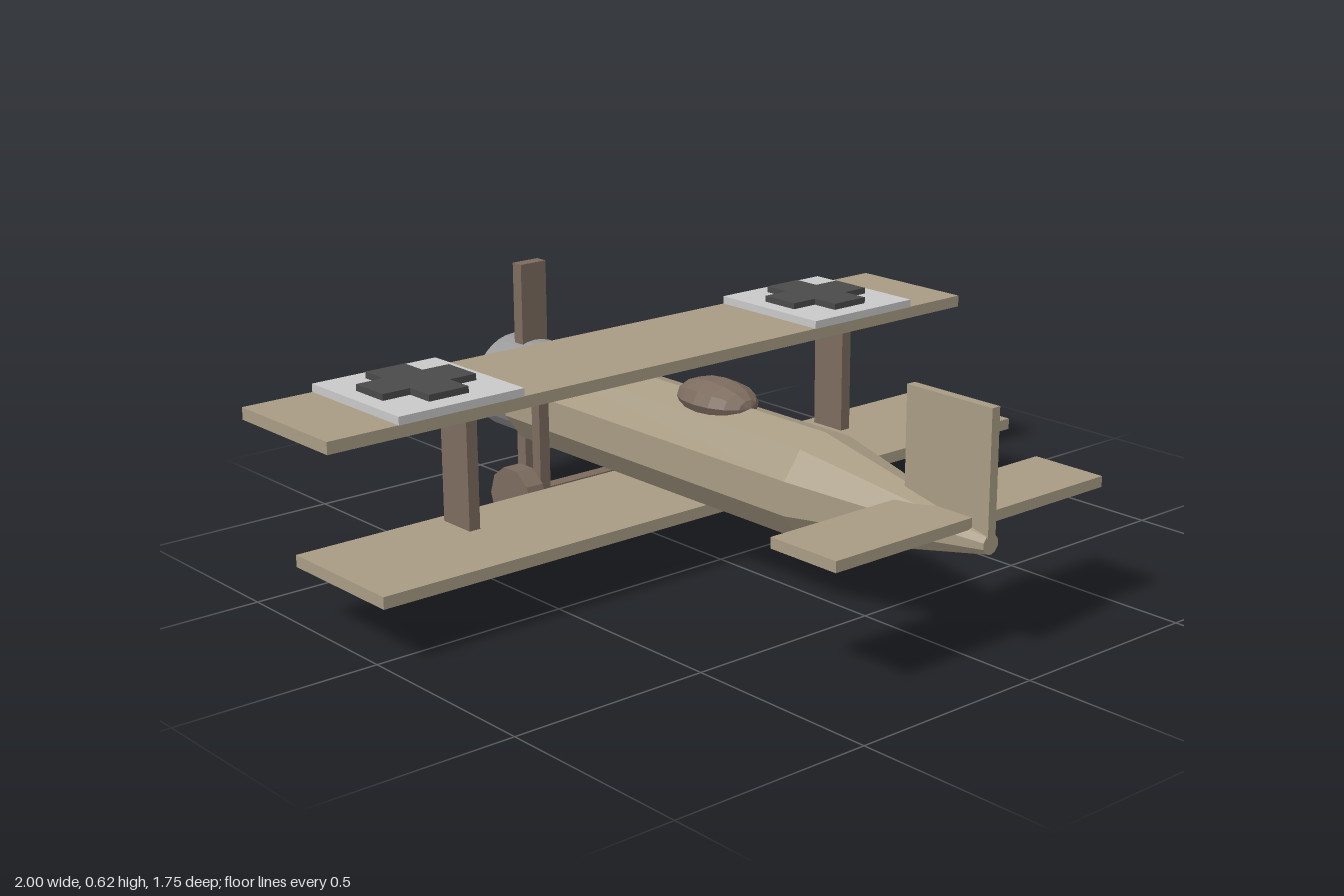
import * as THREE from 'three';

const mat = (name, color) => {
  const m = new THREE.MeshStandardMaterial({ color, flatShading: true });
  m.name = name;
  return m;
};

export function createModel() {
  const tan = mat('tan canvas', 0xa89c84);
  const brown = mat('brown wood', 0x7d6c5f);
  const steel = mat('steel grey', 0x999999);
  const white = mat('pale panel', 0xc9c9c9);
  const dark = mat('dark grey', 0x4a4a4a);

  const model = new THREE.Group();
  model.name = 'biplane';

  const add = (name, geometry, material) => {
    const mesh = new THREE.Mesh(geometry, material);
    mesh.name = name;
    model.add(mesh);
    return mesh;
  };
  // Box given by its lower and upper limits on each axis
  const box = (name, material, [x0, x1], [y0, y1], [z0, z1]) => {
    const mesh = add(name, new THREE.BoxGeometry(x1 - x0, y1 - y0, z1 - z0), material);
    mesh.position.set((x0 + x1) / 2, (y0 + y1) / 2, (z0 + z1) / 2);
    return mesh;
  };
  // Cylinder along z; r0 at z0 and r1 at z1, with a corner at the top
  const tubeZ = (name, material, r0, r1, z0, z1, y, sides) => {
    const g = new THREE.CylinderGeometry(r1, r0, z1 - z0, sides);
    g.rotateX(Math.PI / 2);
    g.rotateZ(Math.PI);
    const mesh = add(name, g, material);
    mesh.position.set(0, y, (z0 + z1) / 2);
    return mesh;
  };

  // Ten-sided fuselage with tapering tail
  tubeZ('fuselage', tan, 0.1335, 0.1335, -0.7, 0.36, 0.28, 10);
  tubeZ('tailCone', tan, 0.1335, 0.024, 0.36, 0.875, 0.28, 10);

  // Engine cowl and spinner
  tubeZ('engineCowl', steel, 0.1267, 0.1267, -0.83, -0.525, 0.287, 32);
  tubeZ('spinner', steel, 0.007, 0.023, -0.877, -0.83, 0.318, 10);

  // Crossed propeller blades
  box('verticalBlade', brown, [-0.04, 0.04], [0.016, 0.62], [-0.77, -0.735]);
  box('horizontalBlade', brown, [-0.303, 0.303], [0.28, 0.356], [-0.769, -0.736]);

  // Wings and tail surfaces
  box('upperWing', tan, [-1, 1], [0.445, 0.475], [-0.515, -0.16]);
  box('lowerWing', tan, [-1, 1], [0.143, 0.172], [-0.315, 0.037]);
  box('tailplane', tan, [-0.42, 0.42], [0.306, 0.332], [0.633, 0.83]);
  box('fin', tan, [-0.012, 0.012], [0.295, 0.588], [0.627, 0.877]);

  // Rounded cockpit hump
  const hump = new THREE.SphereGeometry(1, 10, 8);
  hump.rotateX(Math.PI / 2);
  hump.scale(0.079, 0.05, 0.12);
  add('cockpit', hump, brown).position.set(0, 0.412, -0.012);

  for (const s of [1, -1]) {
    const side = s > 0 ? 'left' : 'right';
    const span = (a, b) => (s > 0 ? [a, b] : [-b, -a]);

    // Wing strut
    box(side + 'Strut', brown, span(0.585, 0.615), [0.165, 0.45], [-0.285, -0.183]);

    // Wing marking: pale panel with a dark cross on top
    box(side + 'Panel', white, span(0.465, 0.813), [0.4745, 0.495], [-0.516, -0.159]);
    const cross = new THREE.Shape();
    const a = 0.13, b = 0.055;
    [[b, a], [b, b], [a, b], [a, -b], [b, -b], [b, -a],
      [-b, -a], [-b, -b], [-a, -b], [-a, b], [-b, b], [-b, a]]
      .forEach(([x, y], i) => (i ? cross.lineTo(x, y) : cross.moveTo(x, y)));
    const crossGeo = new THREE.ExtrudeGeometry(cross, { depth: 0.016, bevelEnabled: false });
    crossGeo.rotateX(-Math.PI / 2);
    add(side + 'Cross', crossGeo, dark).position.set(s * 0.639, 0.495, -0.342);

    // Angled exhaust stub
    const from = new THREE.Vector3(s * 0.1, 0.318, -0.71);
    const to = new THREE.Vector3(s * 0.145, 0.318, -0.591);
    const dir = to.clone().sub(from);
    const stub = add(side + 'Exhaust', new THREE.CylinderGeometry(0.02, 0.02, dir.length(), 8), dark);
    stub.position.copy(from).add(to).multiplyScalar(0.5);
    stub.quaternion.setFromUnitVectors(new THREE.Vector3(0, 1, 0), dir.normalize());

    // Wheel and its leg
    const wheel = new THREE.CylinderGeometry(0.0845, 0.0845, 0.05, 10);
    wheel.rotateZ(Math.PI / 2);
    add(side + 'Wheel', wheel, brown).position.set(s * 0.23, 0.0845, -0.512);
    box(side + 'GearLeg', brown, span(0.15, 0.18), [0.075, 0.34], [-0.516, -0.485]);
  }

  // Axle between the wheels
  box('axle', brown, [-0.21, 0.21], [0.07, 0.1], [-0.53, -0.495]);

  return model;
}
